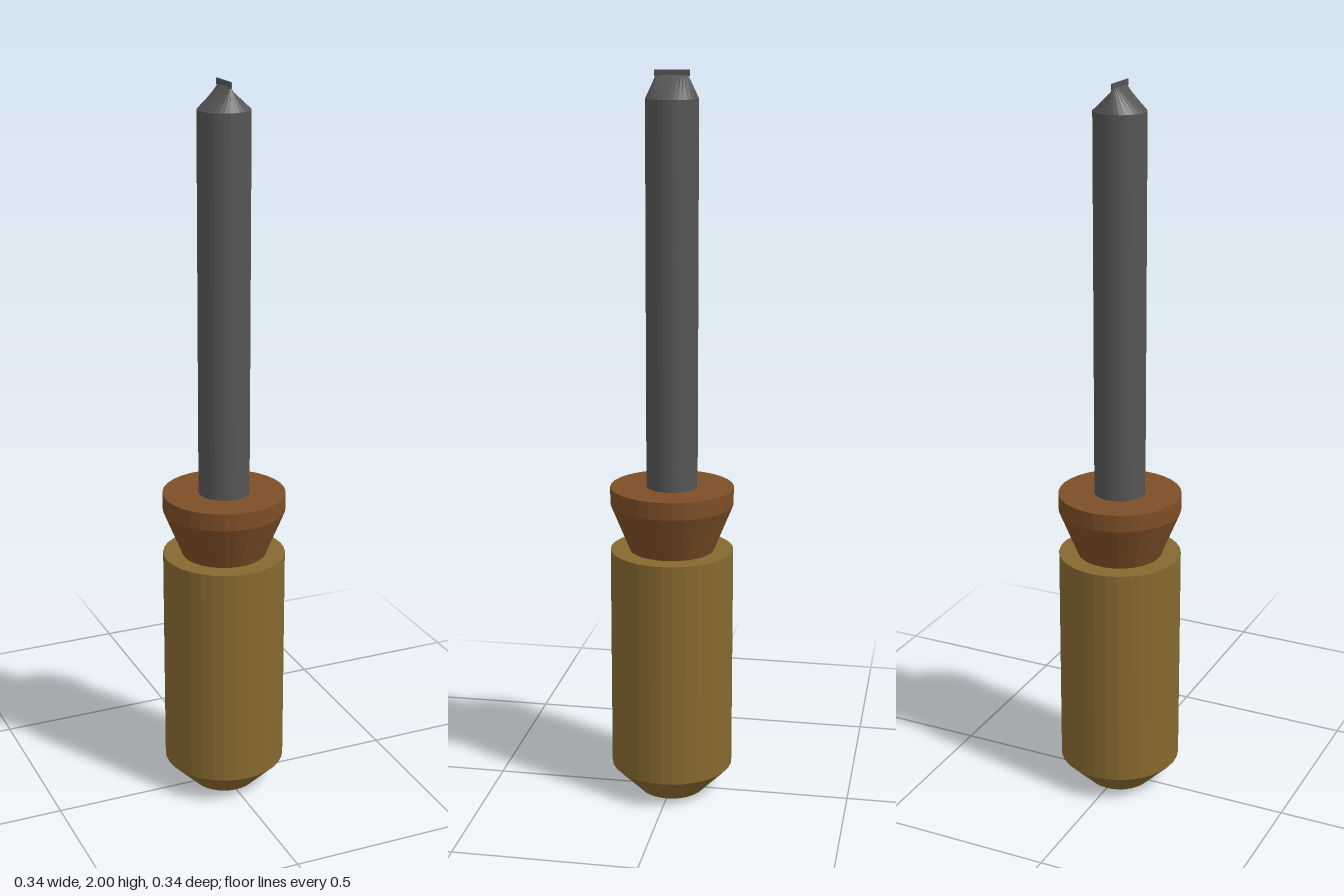
import * as THREE from 'three';

const SIDES = 32;
const material = (color) => new THREE.MeshStandardMaterial({ color, flatShading: true });

// Turned part: profile of [radius, y] from bottom to top
function turned(name, profile, color) {
  const points = profile.map(([r, y]) => new THREE.Vector2(r, y));
  const mesh = new THREE.Mesh(new THREE.LatheGeometry(points, SIDES), material(color));
  mesh.name = name;
  return mesh;
}

export function createModel() {
  const model = new THREE.Group();
  model.name = 'screwdriver';
  const steel = 0x555555;

  // Handle with bevelled butt, and flared collar above it
  model.add(turned('handle', [[0, 0], [0.09, 0], [0.169, 0.08], [0.169, 0.71], [0, 0.71]], 0x86692f));
  model.add(turned('collar', [[0, 0.71], [0.116, 0.71], [0.169, 0.84], [0.169, 0.888], [0, 0.888]], 0x7d4e26));

  // Round shaft
  model.add(turned('shaft', [[0.07, 0.888], [0.07, 1.927]], steel));

  // Taper from the round shaft to a thin edge along z
  const taperGeometry = new THREE.CylinderGeometry(0.043, 0.07, 0.06, SIDES);
  const position = taperGeometry.attributes.position;
  for (let i = 0; i < position.count; i++) {
    if (position.getY(i) > 0) position.setX(i, position.getX(i) * 0.05);
  }
  const taper = new THREE.Mesh(taperGeometry, material(steel));
  taper.name = 'tipTaper';
  taper.position.y = 1.957;
  model.add(taper);

  // Thin blade at the end
  const blade = new THREE.Mesh(new THREE.BoxGeometry(0.004, 0.016, 0.094), material(steel));
  blade.name = 'blade';
  blade.position.y = 1.992;
  model.add(blade);

  return model;
}
